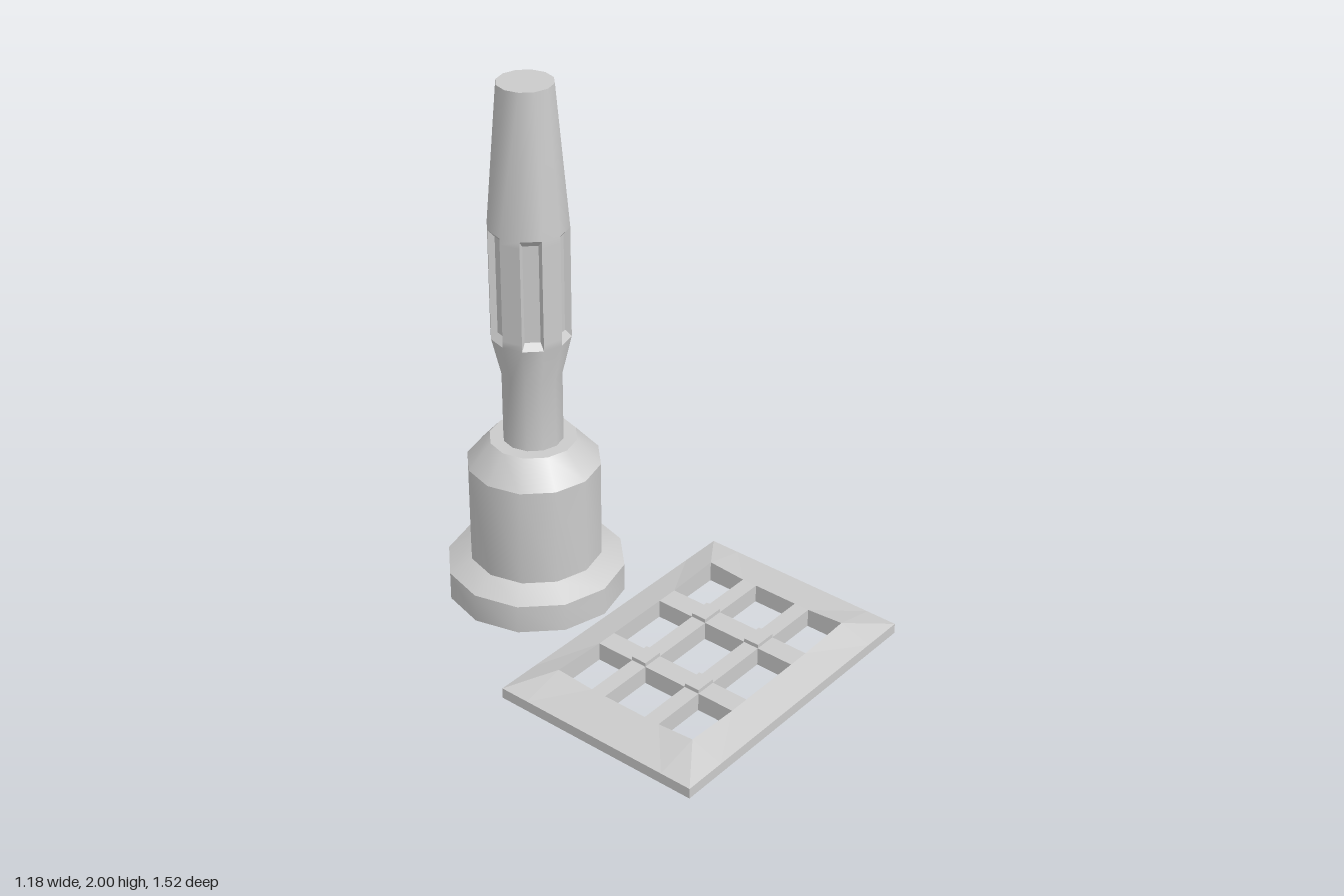
import * as THREE from 'three';
import { toCreasedNormals } from 'three/addons/utils/BufferGeometryUtils.js';

const SIDES = 12;
const CENTRE_Z = -0.435;
const material = new THREE.MeshStandardMaterial({ color: 0xcccccc });

// Collects quads (corners counter-clockwise from outside) into one geometry
function quadBuilder() {
  const pos = [];
  return {
    tri: (a, b, c) => pos.push(...a, ...b, ...c),
    quad: (a, b, c, d) => pos.push(...a, ...b, ...c, ...a, ...c, ...d),
    build() {
      const g = new THREE.BufferGeometry();
      g.setAttribute('position', new THREE.Float32BufferAttribute(pos, 3));
      g.computeVertexNormals();
      return g;
    },
  };
}

function part(name, geometry) {
  const mesh = new THREE.Mesh(geometry, material);
  mesh.name = name;
  return mesh;
}

// Bell-shaped foot with a hollow underside
function footGeometry() {
  const profile = [
    [0, 0.1], [0.16, 0.085], [0.25, 0.05], [0.3, 0.01], [0.33, 0.01], [0.33, 0.12],
    [0.245, 0.165], [0.245, 0.545], [0.16, 0.64], [0, 0.64],
  ].map(([r, y]) => new THREE.Vector2(r, y));
  return toCreasedNormals(new THREE.LatheGeometry(profile, SIDES), 0.7);
}

// Handle lofted from rings; every other face of the grip is recessed
function handleGeometry() {
  const rings = [
    // y, radius, recessed
    [0.62, 0.11, false], [0.91, 0.11, false], [1.06, 0.145, false], [1.085, 0.145, true],
    [1.455, 0.145, true], [1.48, 0.145, false], [2, 0.1, false],
  ].map(([y, r, recessed]) => {
    const points = [];
    for (let k = 0; k < 6; k++) {
      const inset = recessed ? 2 : 0;
      const inner = recessed ? 0.122 : r;
      const corners = [[0, r], [inset, inner], [30 - inset, inner], [30, r]];
      for (const [deg, radius] of corners) {
        const a = THREE.MathUtils.degToRad(60 * k + deg);
        points.push([radius * Math.sin(a), y, radius * Math.cos(a)]);
      }
    }
    return points;
  });
  const b = quadBuilder();
  const n = rings[0].length;
  for (let j = 0; j < rings.length - 1; j++) {
    for (let i = 0; i < n; i++) {
      const k = (i + 1) % n;
      b.quad(rings[j][i], rings[j][k], rings[j + 1][k], rings[j + 1][i]);
    }
  }
  const top = rings[rings.length - 1];
  for (let i = 0; i < n; i++) b.tri(top[i], top[(i + 1) % n], [0, 2, 0]);
  return toCreasedNormals(b.build(), 0.65);
}

// Plate divisions shared by the lattice and its studs
const XS = [-0.59, -0.425, -0.21, -0.13, 0.125, 0.21, 0.425, 0.59];
const ZS = [-0.065, 0.05, 0.2, 0.26, 0.435, 0.495, 0.64, 0.76];

// Bevelled plate with a three by three set of openings
function latticeGeometry() {
  const last = XS.length - 1;
  const height = (i, j) => {
    if (i === 0 || j === 0 || i === last || j === last) return 0.04;
    const corner = (i === 1 || i === last - 1) && (j === 1 || j === last - 1);
    return corner ? 0.08 : 0.07;
  };
  const solid = (i, j) => {
    if (i < 0 || j < 0 || i >= last || j >= last) return false;
    const hole = (k) => k === 1 || k === 3 || k === 5;
    return !(hole(i) && hole(j));
  };
  const up = (i, j) => [XS[i], height(i, j), ZS[j]];
  const down = (i, j) => [XS[i], 0, ZS[j]];
  const b = quadBuilder();
  for (let i = 0; i < last; i++) {
    for (let j = 0; j < last; j++) {
      if (!solid(i, j)) continue;
      const c = [[i, j], [i, j + 1], [i + 1, j + 1], [i + 1, j]];
      const t = c.map(([p, q]) => up(p, q));
      const u = c.map(([p, q]) => down(p, q));
      // Split each cell so that the corner hips run inward
      if ((i < last / 2) === (j < last / 2)) b.quad(t[0], t[1], t[2], t[3]);
      else b.quad(t[1], t[2], t[3], t[0]);
      b.quad(u[3], u[2], u[1], u[0]);
      // Walls wherever the neighbouring cell is open
      const neighbours = [[i - 1, j], [i, j + 1], [i + 1, j], [i, j - 1]];
      neighbours.forEach(([p, q], k) => {
        const m = (k + 1) % 4;
        if (!solid(p, q)) b.quad(u[k], u[m], t[m], t[k]);
      });
    }
  }
  return b.build();
}

export function createModel() {
  const model = new THREE.Group();
  model.name = 'stampAndGrid';

  const stamp = new THREE.Group();
  stamp.name = 'stamp';
  stamp.position.z = CENTRE_Z;
  stamp.add(part('foot', footGeometry()), part('handle', handleGeometry()));

  const grid = new THREE.Group();
  grid.name = 'grid';
  grid.add(part('lattice', latticeGeometry()));

  // Raised studs where the bars cross
  for (const i of [2, 4]) {
    for (const j of [2, 4]) {
      const w = XS[i + 1] - XS[i];
      const d = ZS[j + 1] - ZS[j];
      const stud = part('crossingStud', new THREE.BoxGeometry(w, 0.035, d));
      stud.position.set(XS[i] + w / 2, 0.0675, ZS[j] + d / 2);
      grid.add(stud);
    }
  }

  model.add(stamp, grid);
  return model;
}
